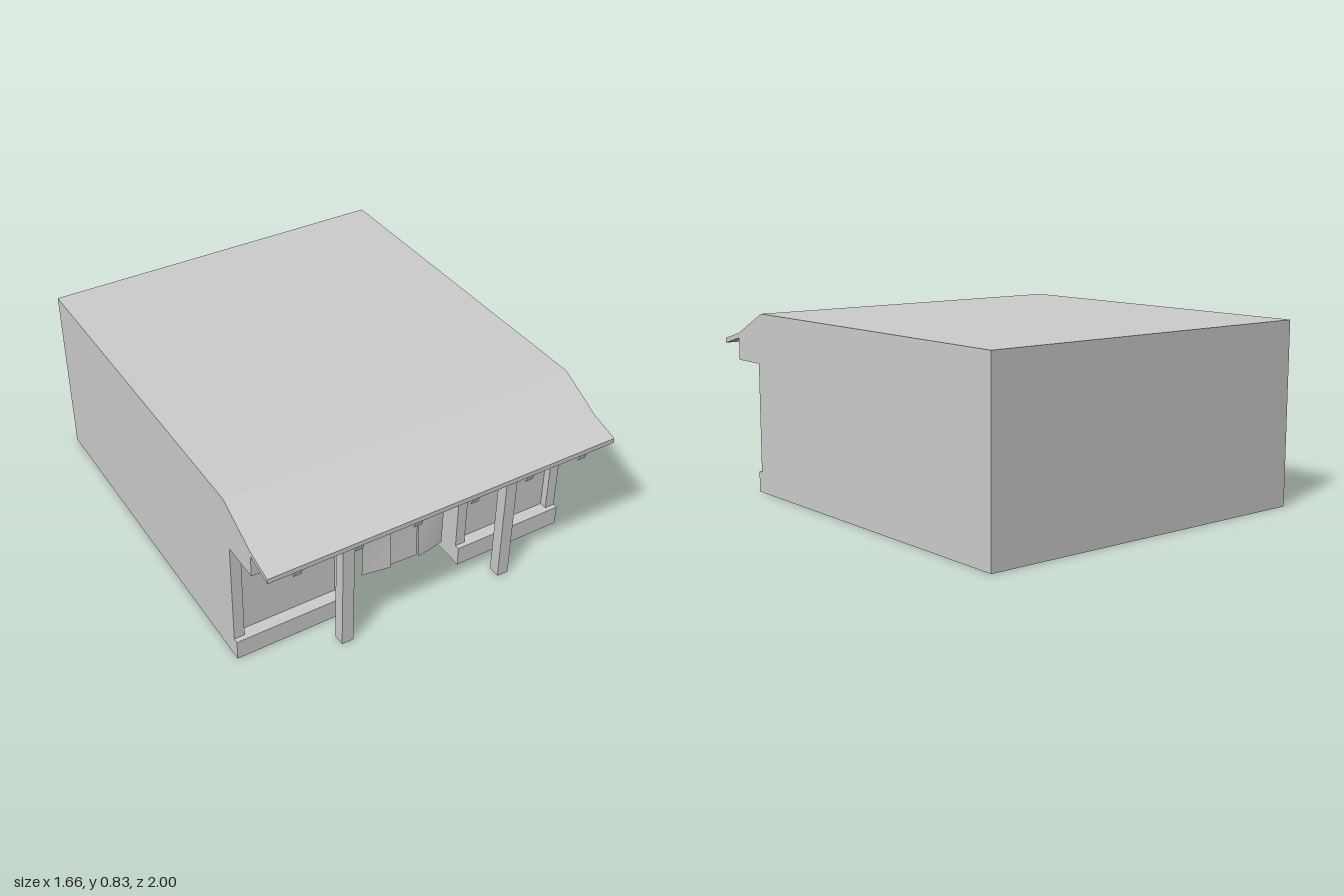
import * as THREE from 'three';

const mat = new THREE.MeshStandardMaterial({ color: 0xcccccc, flatShading: true, side: THREE.DoubleSide });
const clothMat = new THREE.MeshStandardMaterial({ color: 0xcccccc, side: THREE.DoubleSide });

const W = 0.83;      // half width of the building
const DOOR = 0.28;   // half width of the entrance
const SOFFIT = 0.6;

function add(parent, name, geometry, material = mat) {
  const mesh = new THREE.Mesh(geometry, material);
  mesh.name = name;
  parent.add(mesh);
  return mesh;
}

// Sheet swept along x from a [z, y] profile
function sheet(profile, x0, x1) {
  const pos = [];
  for (let i = 0; i < profile.length - 1; i++) {
    const [za, ya] = profile[i], [zb, yb] = profile[i + 1];
    pos.push(x0, ya, za, x0, yb, zb, x1, yb, zb, x0, ya, za, x1, yb, zb, x1, ya, za);
  }
  const g = new THREE.BufferGeometry();
  g.setAttribute('position', new THREE.Float32BufferAttribute(pos, 3));
  g.computeVertexNormals();
  return g;
}

// Flat sheet facing sideways, from a [z, y] outline
function sidePanel(outline, x) {
  const shape = new THREE.Shape(outline.map(([z, y]) => new THREE.Vector2(z, y)));
  return new THREE.ShapeGeometry(shape).rotateY(-Math.PI / 2).translate(x, 0, 0);
}

function box(x0, x1, y0, y1, z0, z1) {
  return new THREE.BoxGeometry(x1 - x0, y1 - y0, z1 - z0)
    .translate((x0 + x1) / 2, (y0 + y1) / 2, (z0 + z1) / 2);
}

export function createModel() {
  const model = new THREE.Group();
  model.name = 'shopBuilding';

  // Hollow shell: back wall, flat roof, front slope, eave and soffit
  const roof = [[-1, 0.83], [0.66, 0.83], [0.87, 0.725], [1, 0.69]];
  const under = [[1, 0.667], [0.87, 0.702], [0.87, SOFFIT], [0.655, SOFFIT]];
  add(model, 'backWall', sheet([[-1, 0], [-1, 0.83]], -W, W));
  add(model, 'roof', sheet(roof, -W, W));
  add(model, 'eaveAndSoffit', sheet([roof[3], ...under], -W, W));

  const sideOutline = [[-1, 0], ...roof, ...under.slice(0, 3),
    [0.69, SOFFIT], [0.69, 0.095], [0.713, 0.095], [0.713, 0]];

  // Matching side wall, window bay and entrance wall on both sides
  for (const s of [-1, 1]) {
    const bay = new THREE.Group();
    bay.name = s > 0 ? 'leftBay' : 'rightBay';
    model.add(bay);
    add(bay, 'sideWall', sidePanel(sideOutline, s * W));
    add(bay, 'plinthAndSill', sheet([[0.713, 0], [0.713, 0.095], [0.655, 0.095]], s * DOOR, s * W));
    add(bay, 'windowPane', sheet([[0.655, 0.095], [0.655, SOFFIT]], s * DOOR, s * W));
    for (const x of [DOOR + 0.024, W - 0.024]) {
      add(bay, 'windowPost', box(s * x - 0.024, s * x + 0.024, 0.095, SOFFIT, 0.655, 0.69));
    }
    add(bay, 'entranceSideWall', sidePanel([[0.39, 0], [0.39, SOFFIT],
      [0.69, SOFFIT], [0.69, 0.095], [0.713, 0.095], [0.713, 0]], s * DOOR));
  }

  // Entrance recess
  add(model, 'entranceBackAndCeiling', sheet([[0.39, 0], [0.39, SOFFIT], [0.655, SOFFIT]], -DOOR, DOOR));

  // Free-standing posts, open at the ends
  for (const x of [-0.388, 0.418]) {
    const post = new THREE.CylinderGeometry(0.055 / Math.SQRT2, 0.055 / Math.SQRT2, SOFFIT, 4, 1, true)
      .rotateY(Math.PI / 4).translate(x, SOFFIT / 2, 0.837);
    add(model, 'porchPost', post);
  }

  // Rafter ends following the slope of the eave
  for (let i = 0; i < 6; i++) {
    const rafter = add(model, 'rafterEnd', new THREE.BoxGeometry(0.036, 0.06, 0.108));
    rafter.position.set(-0.682 + i * 0.275, 0.656, 0.922);
    rafter.rotation.x = Math.atan2(0.035, 0.13);
  }

  // Entrance curtain: three strips joined above two slits, flaring at the bottom
  const curtain = new THREE.Group();
  curtain.name = 'entranceCurtain';
  model.add(curtain);
  const strips = [
    { x0: -0.205, x1: -0.071, left: SOFFIT, right: 0.53, a: -0.004, b: 0.016 },
    { x0: -0.071, x1: 0.069, left: 0.53, right: 0.41, a: 0.002, b: 0.008 },
    { x0: 0.069, x1: 0.209, left: 0.41, right: SOFFIT, a: 0.022, b: -0.004 },
  ];
  for (const { x0, x1, left, right, a, b } of strips) {
    const g = new THREE.PlaneGeometry(x1 - x0, 0.46, 8, 12).translate((x0 + x1) / 2, 0.37, 0);
    const p = g.attributes.position;
    for (let i = 0; i < p.count; i++) {
      const x = p.getX(i), y = p.getY(i), u = (x - x0) / (x1 - x0);
      const drop = (top) => Math.max(0, (top - y) / (top - 0.14));
      const flare = a * (1 - u) * drop(left) + b * u * drop(right);
      p.setZ(i, 0.682 + flare);
    }
    g.computeVertexNormals();
    add(curtain, 'curtainStrip', g, clothMat);
  }

  return model;
}
